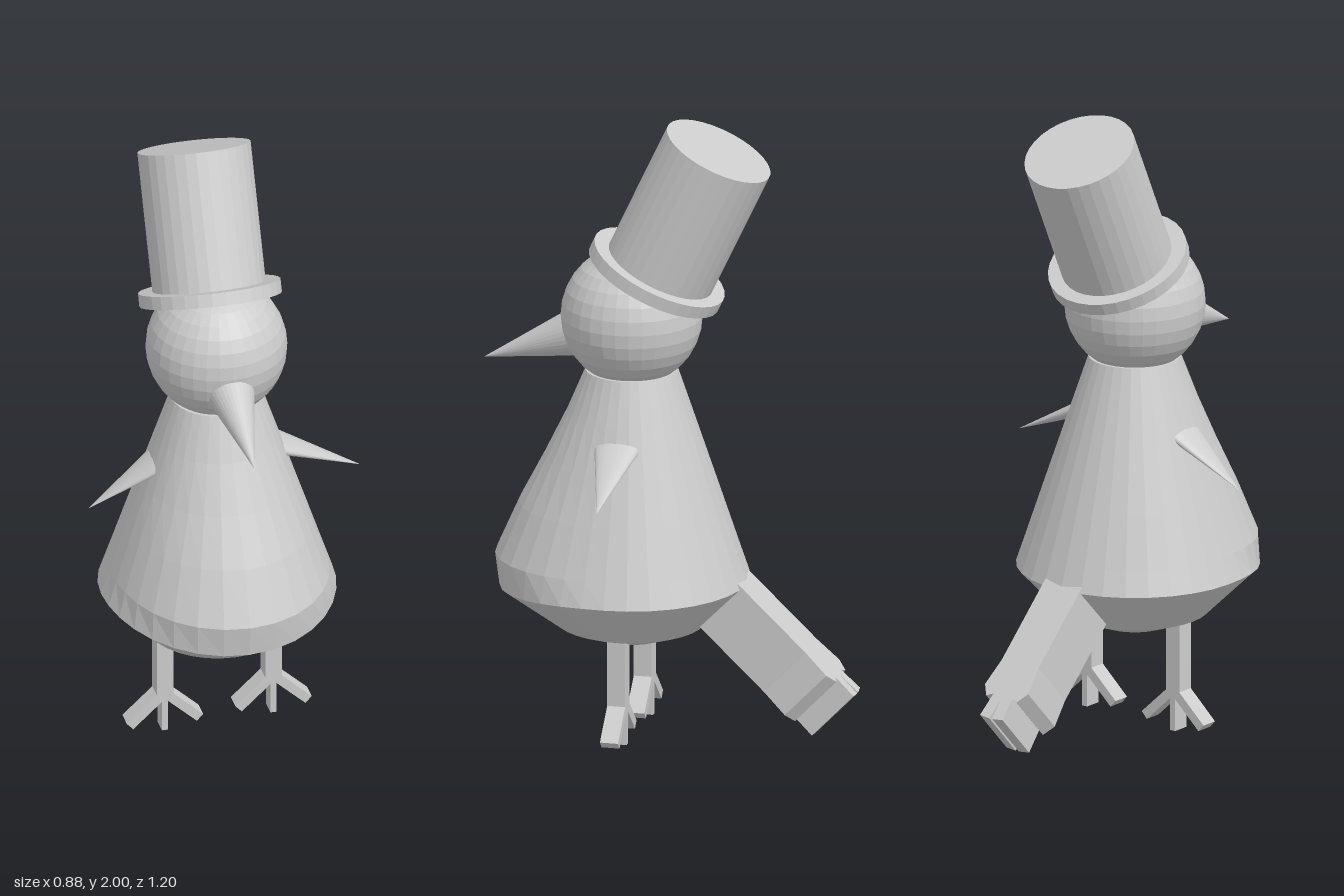
import * as THREE from 'three';

const CX = -0.027; // centre line of body, head and hat
const CZ = 0.125;

export function createModel() {
  const group = new THREE.Group();
  group.name = 'birdWithTopHat';
  const grey = new THREE.MeshStandardMaterial({ color: 0xcccccc });
  grey.name = 'plain grey';
  grey.flatShading = true;

  function add(name, geometry, x = 0, y = 0, z = 0) {
    const mesh = new THREE.Mesh(geometry, grey);
    mesh.name = name;
    mesh.position.set(x, y, z);
    group.add(mesh);
    return mesh;
  }

  // Cone running from a base centre to a tip, optionally flattened
  function addCone(name, base, tip, radius, flat = 1) {
    const a = new THREE.Vector3(...base);
    const axis = new THREE.Vector3(...tip).sub(a);
    const length = axis.length();
    const geometry = new THREE.ConeGeometry(radius, length, 32);
    geometry.translate(0, length / 2, 0);
    geometry.scale(flat, 1, 1);
    const mesh = add(name, geometry, ...base);
    mesh.quaternion.setFromUnitVectors(new THREE.Vector3(0, 1, 0), axis.normalize());
  }

  // Body: turned profile with the belly pushed forward [height, radius, bulge, drop]
  const rings = [
    [0.315, 0, 0, 0], [0.315, 0.11, 0, 0], [0.36, 0.23, 0.005, 0],
    [0.51, 0.372, 0.043, 0.035], [0.59, 0.345, 0.085, 0.01], [0.75, 0.292, 0.063, 0],
    [0.9, 0.242, 0.035, 0], [1.05, 0.192, 0.012, 0], [1.19, 0.145, 0, 0], [1.19, 0, 0, 0],
  ];
  const body = new THREE.LatheGeometry(rings.map(([y, r]) => new THREE.Vector2(r, y)), 32);
  const p = body.attributes.position;
  for (let i = 0; i < p.count; i++) {
    const [y, r, bulge, drop] = rings[i % rings.length];
    if (r === 0) continue;
    const front = Math.max(0, p.getZ(i) / r) ** 2;
    const k = 1 + (bulge * front) / r;
    p.setXYZ(i, p.getX(i) * k, y - drop * front, p.getZ(i) * k);
  }
  body.computeVertexNormals();
  add('body', body, CX, 0, CZ);

  // Head and beak
  add('head', new THREE.SphereGeometry(0.222, 32, 16), CX, 1.365, CZ);
  addCone('beak', [CX, 1.294, 0.305], [CX, 1.19, 0.6], 0.076);

  // Tilted top hat
  const tilt = -THREE.MathUtils.degToRad(25.2);
  add('hatBrim', new THREE.CylinderGeometry(0.224, 0.224, 0.042, 32), CX, 1.508, 0.044).rotation.x = tilt;
  add('hatCrown', new THREE.CylinderGeometry(0.178, 0.178, 0.46, 32), CX, 1.715, -0.057).rotation.x = tilt;

  // Flattened cone wings
  addCone('leftWing', [0.14, 0.995, CZ], [0.437, 0.857, CZ], 0.08, 0.36);
  addCone('rightWing', [-0.18, 1.0, CZ], [-0.442, 0.828, CZ], 0.08, 0.36);

  // Legs with three flat toes
  const depth = 0.058;
  for (const [side, x, lift] of [['left', 0.15, 0.012], ['right', -0.2, 0]]) {
    add(side + 'Leg', new THREE.BoxGeometry(0.053, 0.33, depth), x, 0.29 + lift, CZ);
    add(side + 'MiddleToe', new THREE.BoxGeometry(0.02, 0.14, depth), x, 0.07 + lift, CZ);
    for (const s of [-1, 1]) {
      const toe = add(side + (s > 0 ? 'OuterToe' : 'InnerToe'),
        new THREE.BoxGeometry(0.03, 0.15, depth), x + s * 0.058, 0.08 + lift, CZ);
      toe.rotation.z = s * 0.82;
    }
  }

  // Tail: feathered outline extruded through its thickness, slanting down and back
  const half = [[0.073, -0.1], [0.073, 0.28], [0.086, 0.375], [0.06, 0.412],
    [0.038, 0.4], [0.045, 0.482], [0.006, 0.486]];
  const outline = [...half, [0, 0.41], ...half.map(([x, u]) => [-x, u]).reverse()];
  const tailShape = new THREE.Shape(outline.map(([x, u]) => new THREE.Vector2(x, u)));
  const tail = new THREE.ExtrudeGeometry(tailShape, { depth: 0.193, bevelEnabled: false });
  const along = new THREE.Vector3(0, -0.69, -0.72).normalize();
  const across = new THREE.Vector3(1, 0, 0);
  const through = across.clone().cross(along);
  tail.applyMatrix4(new THREE.Matrix4().makeBasis(across, along, through));
  add('tail', tail, CX, 0.375, -0.117);

  return group;
}
